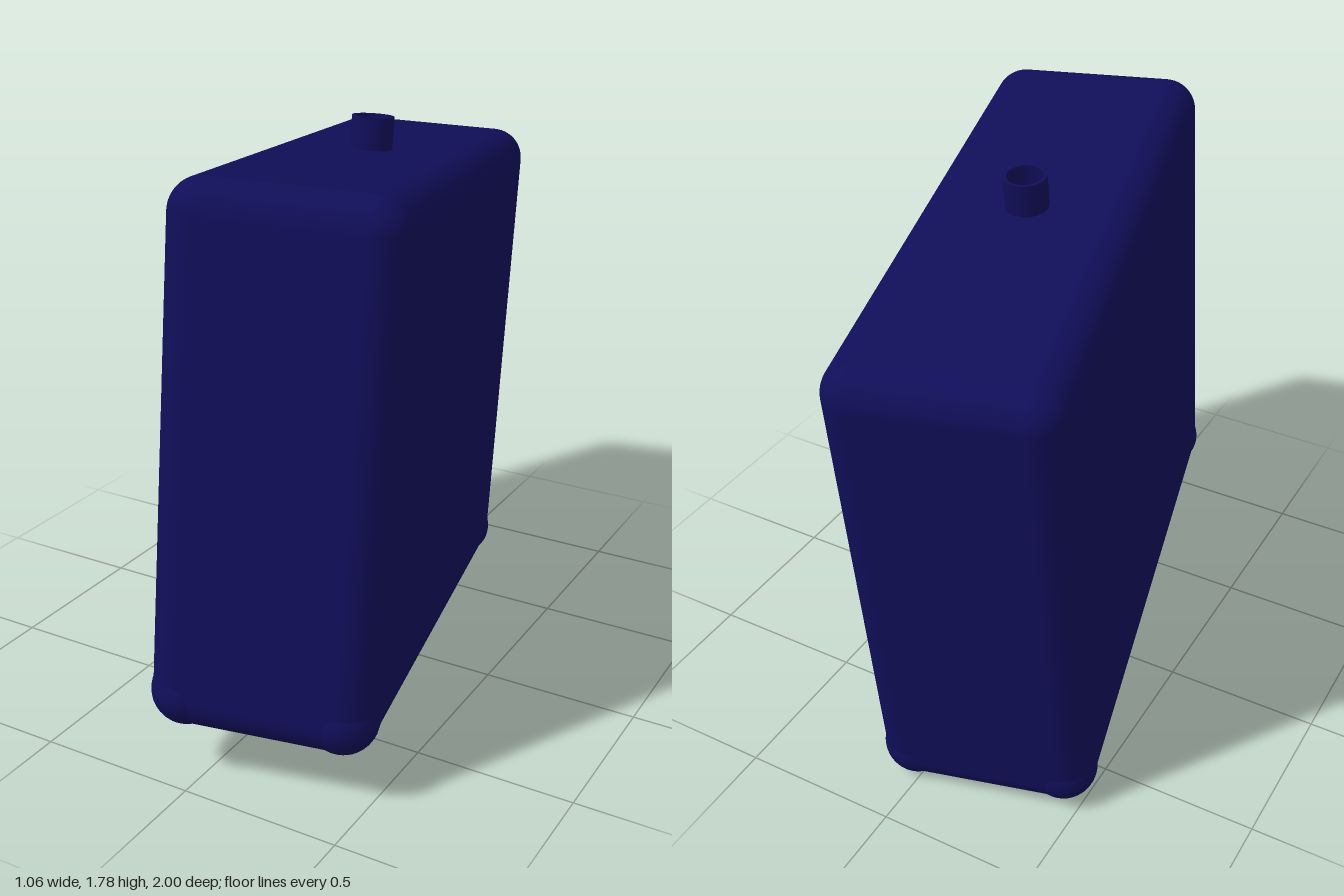
import * as THREE from 'three';
import { RoundedBoxGeometry } from 'three/addons/geometries/RoundedBoxGeometry.js';

const WIDTH = 0.67, HEIGHT = 1.59, LENGTH = 1.796, RADIUS = 0.1;

export function createModel() {
  const model = new THREE.Group();
  model.name = 'tank';
  const navy = new THREE.MeshStandardMaterial({ color: 0x100e58 });

  const add = (name, geometry) => {
    const mesh = new THREE.Mesh(geometry, navy);
    mesh.name = name;
    tilted.add(mesh);
    return mesh;
  };

  // The whole tank is turned and leans back slightly
  const tilted = new THREE.Group();
  tilted.name = 'tiltedTank';
  const up = new THREE.Vector3(0.012, 1, -0.105).normalize();
  const side = new THREE.Vector3().crossVectors(up, new THREE.Vector3(0.236, 0.098, 0.967)).normalize();
  const forward = new THREE.Vector3().crossVectors(side, up);
  tilted.quaternion.setFromRotationMatrix(new THREE.Matrix4().makeBasis(side, up, forward));
  tilted.position.y = 0.878;
  model.add(tilted);

  // Body with rounded edges
  add('body', new RoundedBoxGeometry(WIDTH, HEIGHT, LENGTH, 8, RADIUS));

  // Slightly swollen bottom corners
  for (const x of [-1, 1]) {
    for (const z of [-1, 1]) {
      add('bottomCorner', new THREE.SphereGeometry(RADIUS + 0.006, 32, 20)).position.set(
        x * (WIDTH / 2 - RADIUS), RADIUS - HEIGHT / 2, z * (LENGTH / 2 - RADIUS));
    }
  }

  // Open filler neck: outer wall, rim and inner wall
  const neckWalls = [
    [[0.065, -0.02], [0.065, 0.1]],
    [[0.065, 0.1], [0.054, 0.1]],
    [[0.054, 0.1], [0.054, -0.02]],
  ];
  ['neckOuter', 'neckRim', 'neckInner'].forEach((name, i) => {
    const points = neckWalls[i].map(([r, y]) => new THREE.Vector2(r, y));
    add(name, new THREE.LatheGeometry(points, 32)).position.y = HEIGHT / 2;
  });

  return model;
}
